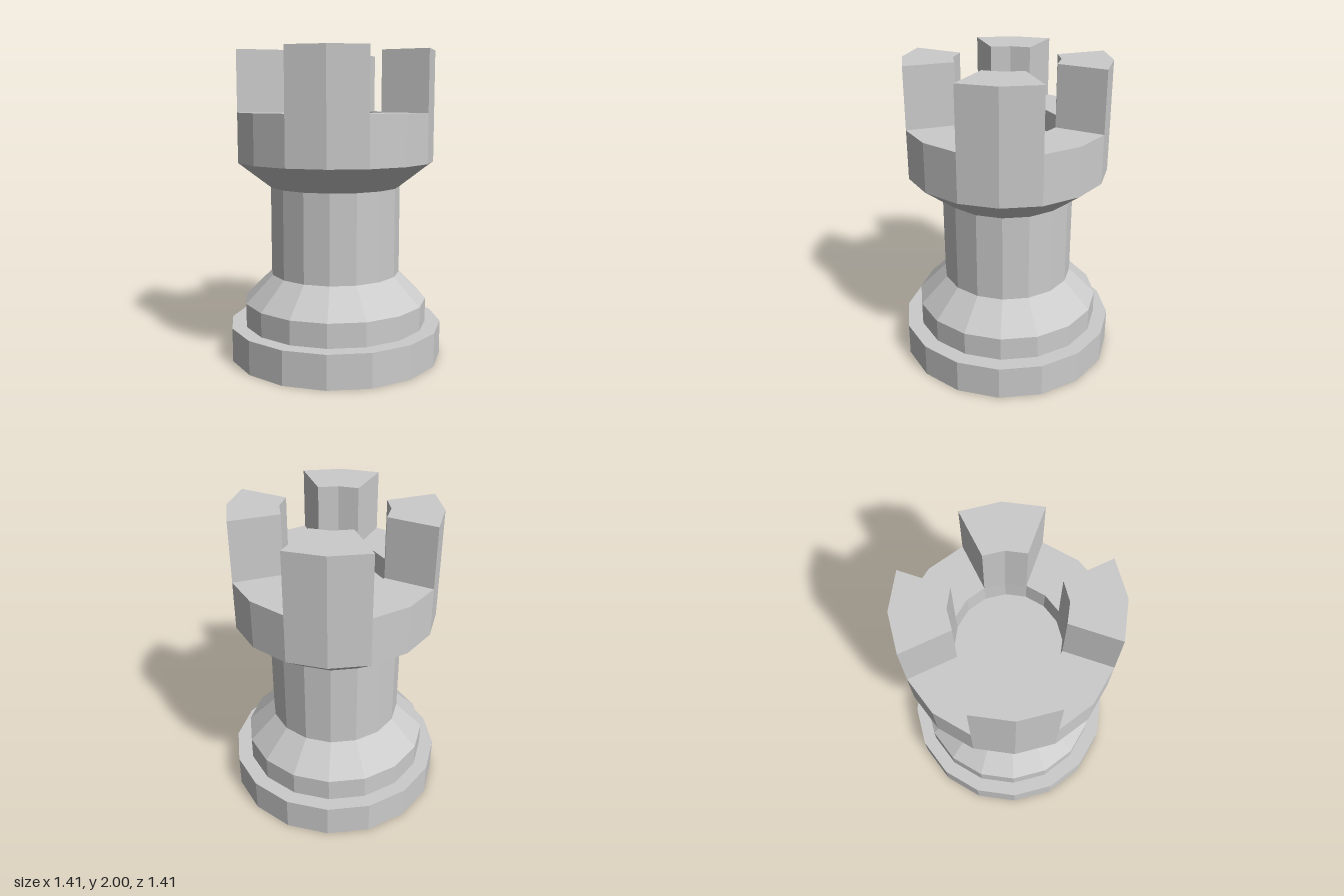
import * as THREE from 'three';

const SIDES = 16;
const STEP = (Math.PI * 2) / SIDES;

export function createModel() {
  const group = new THREE.Group();
  const material = new THREE.MeshStandardMaterial({ color: 0xcccccc, flatShading: true });

  // Turned part from [radius, height] pairs, listed from the bottom up
  const turned = (name, profile) => {
    const points = profile.map(([r, y]) => new THREE.Vector2(r, y));
    const mesh = new THREE.Mesh(new THREE.LatheGeometry(points, SIDES), material);
    mesh.name = name;
    return mesh;
  };

  // Foot disc
  group.add(turned('base', [[0, 0], [0.703, 0], [0.703, 0.22], [0.6, 0.22]]));

  // Everything above the foot sits very slightly off its axis
  const tower = new THREE.Group();
  tower.name = 'tower';
  tower.position.set(-0.003, 0, -0.003);
  group.add(tower);

  // Collar tapering into the shaft
  tower.add(turned('collar', [[0.606, 0.22], [0.606, 0.375], [0.427, 0.555]]));
  tower.add(turned('shaft', [[0.427, 0.555], [0.427, 1.13]]));

  // Flared head with a shallow well in its top
  tower.add(turned('head', [
    [0.427, 1.13], [0.642, 1.295], [0.642, 1.61], [0.329, 1.61], [0.325, 1.47], [0, 1.47],
  ]));

  // Four battlements, each spanning two of the sixteen sides
  const at = (r, i) => new THREE.Vector2(r * Math.cos(i * STEP), r * Math.sin(i * STEP));
  const outline = new THREE.Shape([
    at(0.329, -1), at(0.642, -1), at(0.642, 0), at(0.642, 1), at(0.329, 1), at(0.329, 0),
  ]);
  const block = new THREE.ExtrudeGeometry(outline, { depth: 0.39, bevelEnabled: false });
  block.rotateX(-Math.PI / 2);
  for (let i = 0; i < 4; i++) {
    const mesh = new THREE.Mesh(block, material);
    mesh.name = `battlement${i + 1}`;
    mesh.position.y = 1.61;
    mesh.rotation.y = (i * Math.PI) / 2;
    tower.add(mesh);
  }

  return group;
}
